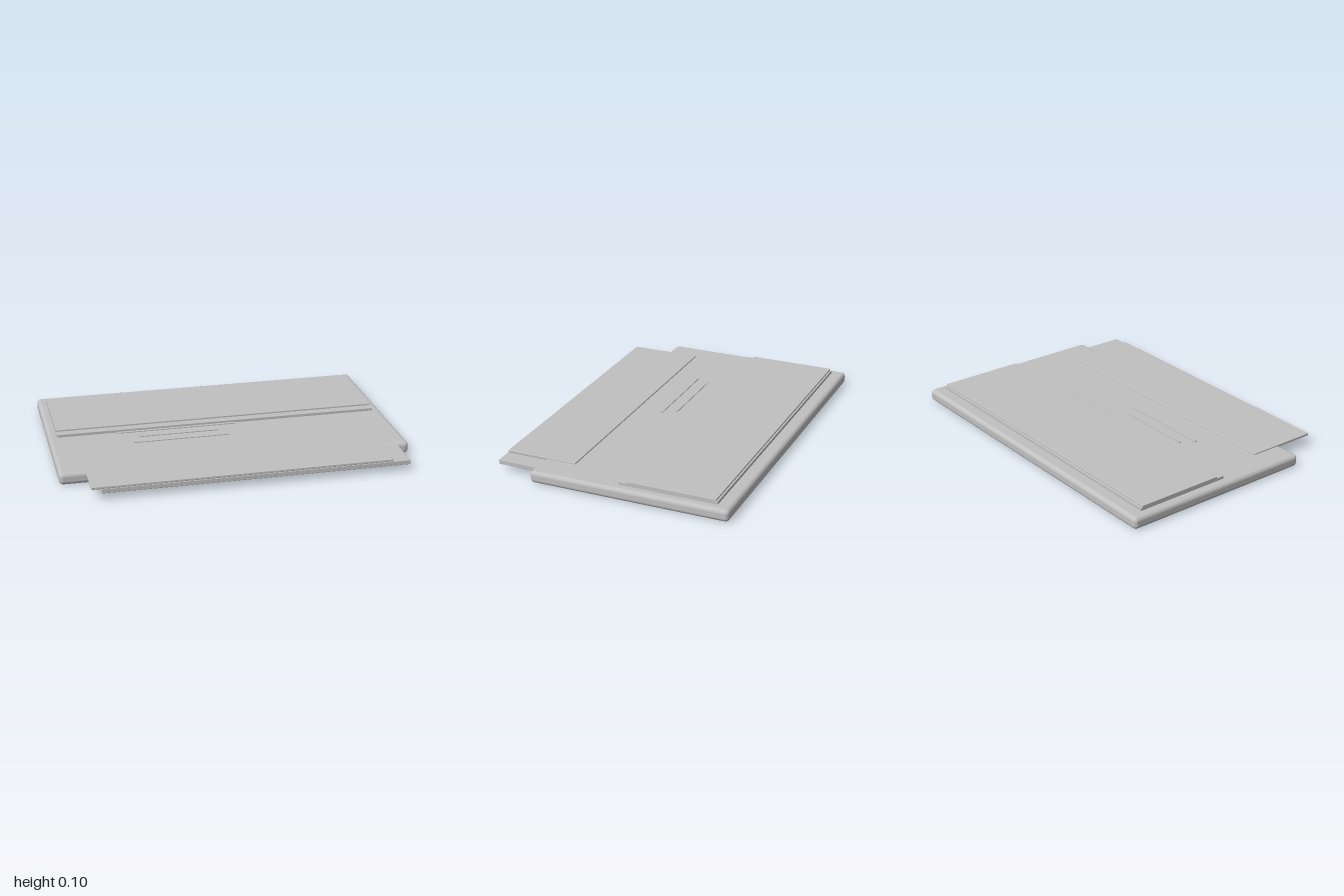
import * as THREE from 'three';
import { RoundedBoxGeometry } from 'three/addons/geometries/RoundedBoxGeometry.js';

export function createModel() {
  const model = new THREE.Group();
  model.name = 'layeredPanel';
  const grey = new THREE.MeshStandardMaterial({ name: 'plain grey', color: 0xc0c0c0 });

  // Adds a block from its [min, max] extents; a radius rounds its edges
  function block(name, [x0, x1], [y0, y1], [z0, z1], radius = 0) {
    const size = [x1 - x0, y1 - y0, z1 - z0];
    const geometry = radius
      ? new RoundedBoxGeometry(...size, 5, radius)
      : new THREE.BoxGeometry(...size);
    const mesh = new THREE.Mesh(geometry, grey);
    mesh.name = name;
    mesh.position.set((x0 + x1) / 2, (y0 + y1) / 2, (z0 + z1) / 2);
    model.add(mesh);
  }

  // Main slab with softly rounded edges
  block('baseSlab', [-1, 1], [0, 0.07], [-0.69, 0.465], 0.024);

  // Stepped panel at the back
  block('backPanelLower', [-0.95, 0.95], [0.06, 0.087], [-0.612, -0.044], 0.003);
  block('backPanelUpper', [-0.95, 0.95], [0.08, 0.097], [-0.602, -0.092], 0.003);

  // Overlapping plates overhanging the front edge
  block('frontPlateLower', [-0.8, 0.93], [0.038, 0.064], [0.28, 0.69], 0.003);
  block('frontPlateUpper', [-0.855, 0.83], [0.063, 0.078], [0.272, 0.688], 0.004);

  // Thin raised bars between the panels
  const bars = [
    [[-0.6, 0.1], [-0.042, -0.025]],
    [[-0.485, -0.02], [0.038, 0.051]],
    [[-0.53, 0.03], [0.114, 0.13]],
  ];
  bars.forEach(([x, z], i) => block(`raisedBar${i + 1}`, x, [0.064, 0.075], z));

  return model;
}
